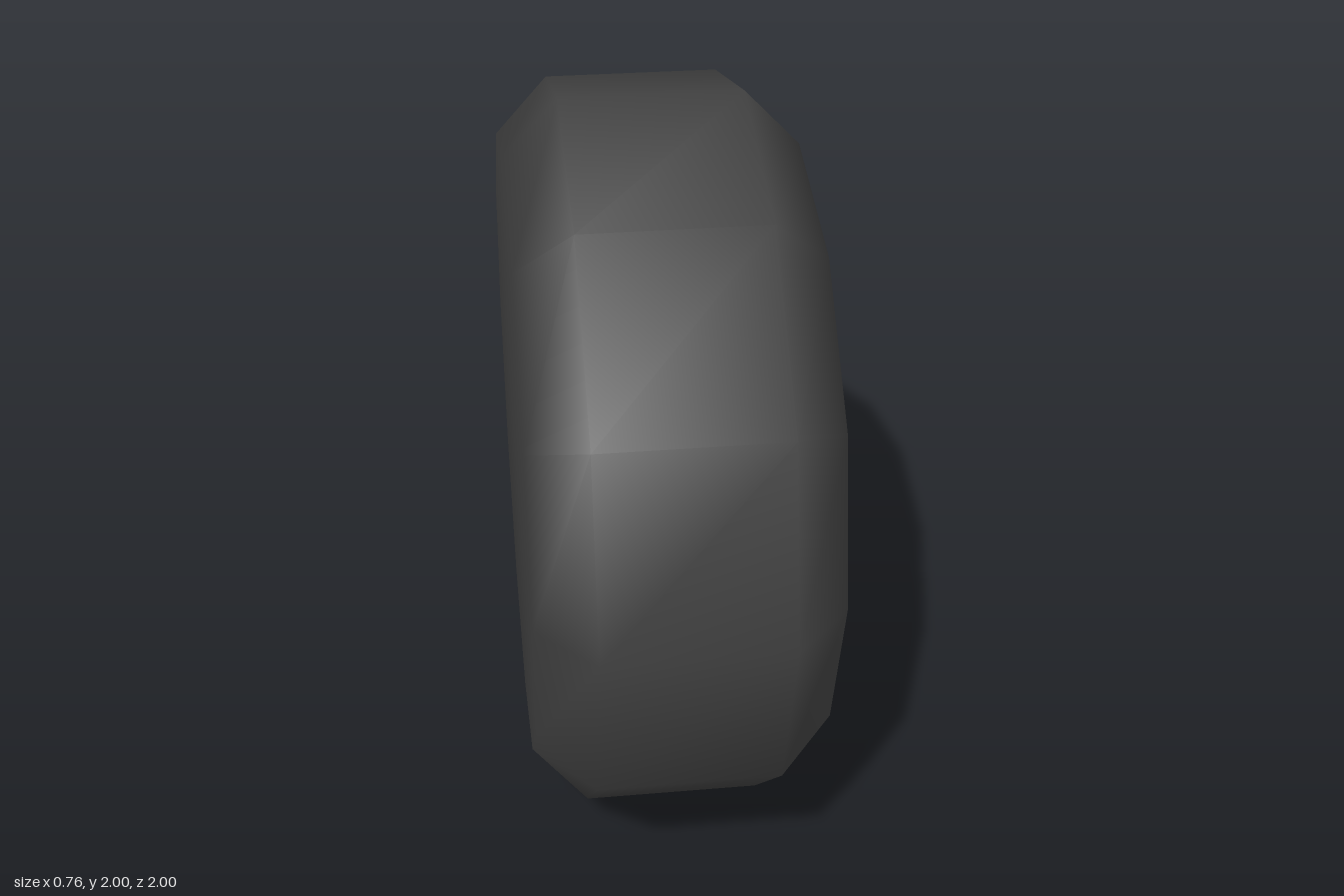
import * as THREE from 'three';

const SIDES = 12;
const HALF = 0.38;    // half width of the wheel
const FLOOR = 0.33;   // depth of the sunken spoke face

// Point at angle a (degrees from straight up) and radius r
const polar = (a, r) => {
  const t = THREE.MathUtils.degToRad(a);
  return new THREE.Vector2(Math.sin(t) * r, Math.cos(t) * r);
};

export function createModel() {
  const model = new THREE.Group();
  model.name = 'wheel';
  const rubber = new THREE.MeshStandardMaterial({ color: 0x414141 });
  rubber.name = 'dark rubber';
  const metal = new THREE.MeshStandardMaterial({ color: 0xa8aba9 });
  metal.name = 'grey metal';

  // Tyre and dished rim: one smooth profile turned around the x axle
  const profile = [
    [0, -HALF], [0.85, -HALF], [1, -0.235], [1, 0.235],  // inner wall, tread
    [0.85, HALF], [0.69, FLOOR], [0, FLOOR],             // bevel, rim slope, spoke face
  ].map(([r, y]) => new THREE.Vector2(r, y));
  const body = new THREE.LatheGeometry(profile, SIDES).rotateZ(-Math.PI / 2);

  // The first four bands of every segment are rubber, the last two metal
  const bands = profile.length - 1;
  for (let i = 0; i < SIDES; i++) {
    body.addGroup(i * bands * 6, 4 * 6, 0);
    body.addGroup((i * bands + 4) * 6, 2 * 6, 1);
  }
  const tyreAndRim = new THREE.Mesh(body, [rubber, metal]);
  tyreAndRim.name = 'tyreAndRim';
  tyreAndRim.position.y = 1;
  model.add(tyreAndRim);

  // Six dark openings between the spokes
  for (let i = 0; i < 6; i++) {
    const a = i * 60;
    const shape = new THREE.Shape([
      polar(a, 0.16), polar(a - 20, 0.669), polar(a, 0.69), polar(a + 20, 0.669),
    ]);
    const opening = new THREE.Mesh(
      new THREE.ShapeGeometry(shape).rotateY(Math.PI / 2), rubber);
    opening.name = `spokeOpening${i + 1}`;
    opening.position.set(FLOOR + 0.002, 1, 0);
    model.add(opening);
  }
  return model;
}
